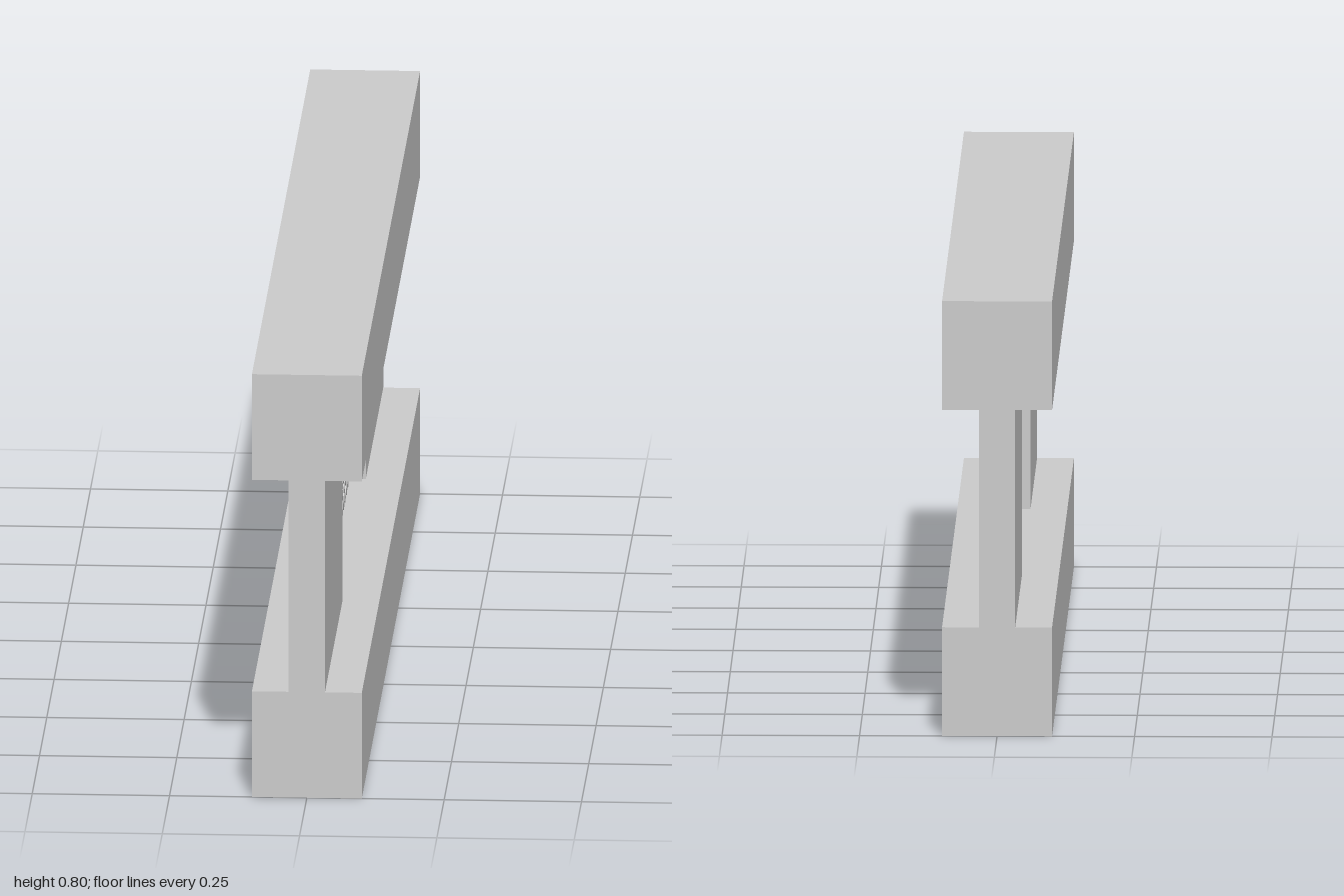
import * as THREE from 'three';

export function createModel() {
  const group = new THREE.Group();
  const material = new THREE.MeshStandardMaterial({ color: 0xcccccc, flatShading: true });

  const box = (name, w, h, d, x, y, z) => {
    const mesh = new THREE.Mesh(new THREE.BoxGeometry(w, h, d), material);
    mesh.name = name;
    mesh.position.set(x, y, z);
    group.add(mesh);
    return mesh;
  };

  // Top and bottom rails
  box('bottomRail', 0.2, 0.2, 2, 0, 0.1, 0);
  box('topRail', 0.2, 0.2, 2, 0, 0.7, 0);

  // Thin panels either side of the central opening
  box('frontPanel', 0.066, 0.4, 0.6, 0, 0.4, 0.7);
  box('backPanel', 0.066, 0.4, 0.6, 0, 0.4, -0.7);

  // Diagonal wire mesh filling the opening
  const lattice = new THREE.Group();
  lattice.name = 'wireMesh';
  lattice.position.y = 0.4;
  group.add(lattice);
  const halfZ = 0.4, halfY = 0.2, pitch = 0.05, wire = 0.008;
  const count = Math.round((halfZ + halfY) / pitch);
  for (const slope of [1, -1]) {
    for (let k = 1 - count; k < count; k++) {
      // Wire follows z = k * pitch + slope * y, clipped to the opening
      const c = k * pitch * slope;
      const y0 = Math.max(-halfY, -halfZ - c);
      const y1 = Math.min(halfY, halfZ - c);
      const length = (y1 - y0) * Math.SQRT2;
      const mesh = new THREE.Mesh(new THREE.BoxGeometry(wire, length, wire), material);
      const y = (y0 + y1) / 2;
      mesh.name = 'wire';
      mesh.position.set(0, y, slope * (y + c));
      mesh.rotation.x = slope * Math.PI / 4;
      lattice.add(mesh);
    }
  }
  return group;
}
